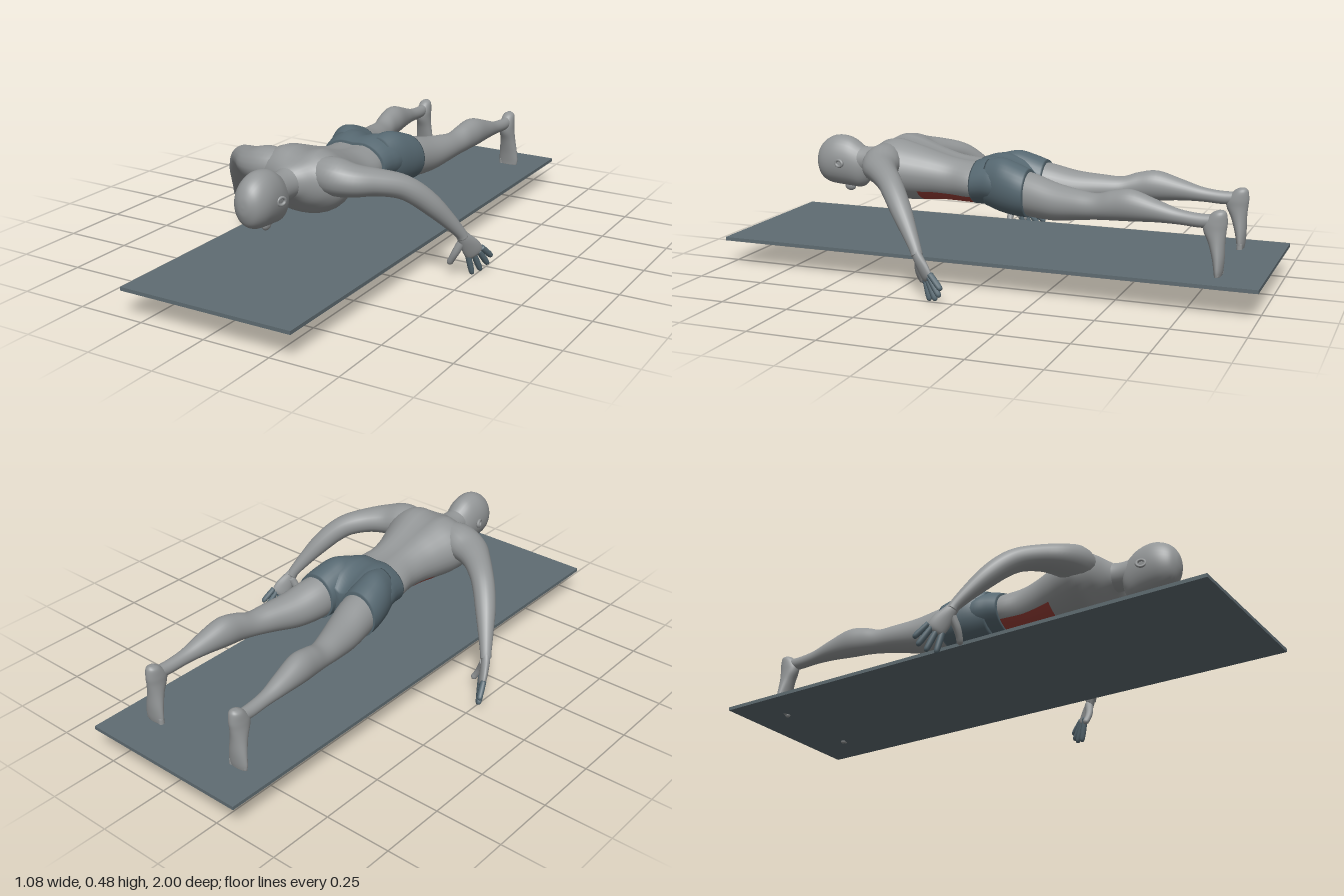
import * as THREE from 'three';

const SIDES = 32;
const material = (name, color) => {
  const m = new THREE.MeshStandardMaterial({ color });
  m.name = name;
  return m;
};

// Smooth interpolation through rows of numbers
function smoothRows(rows, steps) {
  const out = [];
  const n = rows.length - 1;
  for (let i = 0; i < n; i++) {
    const a = rows[Math.max(i - 1, 0)], b = rows[i], c = rows[i + 1], d = rows[Math.min(i + 2, n)];
    for (let k = 0; k < steps; k++) {
      const t = k / steps;
      out.push(b.map((v, j) => v + 0.5 * t * (c[j] - a[j] + t * (2 * a[j] - 5 * v + 4 * c[j] - d[j]
        + t * (3 * (v - c[j]) + d[j] - a[j])))));
    }
  }
  out.push(rows[n]);
  return out;
}

// Skin a list of rings, closing both ends; isSecond picks faces for material 1
function skinRings(rings, isSecond = () => false) {
  const n = rings[0].length, pos = [], faces = [[], []];
  rings.forEach(r => r.forEach(p => pos.push(p.x, p.y, p.z)));
  for (let i = 0; i < rings.length - 1; i++) {
    for (let j = 0; j < n; j++) {
      const a = i * n + j, b = i * n + (j + 1) % n;
      faces[isSecond(rings[i][j], j / n) ? 1 : 0].push(a, b, a + n, b, b + n, a + n);
    }
  }
  [0, rings.length - 1].forEach((i, end) => {
    const c = rings[i].reduce((s, p) => s.add(p), new THREE.Vector3()).divideScalar(n);
    const pole = pos.length / 3;
    pos.push(c.x, c.y, c.z);
    for (let j = 0; j < n; j++) {
      const a = i * n + j, b = i * n + (j + 1) % n;
      faces[0].push(...(end ? [pole, a, b] : [pole, b, a]));
    }
  });
  const g = new THREE.BufferGeometry();
  g.setAttribute('position', new THREE.Float32BufferAttribute(pos, 3));
  g.setIndex([...faces[0], ...faces[1]]);
  g.addGroup(0, faces[0].length, 0);
  if (faces[1].length) g.addGroup(faces[0].length, faces[1].length, 1);
  g.computeVertexNormals();
  return g;
}

// Body sections by rising z: [z, centre x, half width, top, bottom, middle groove]
function bodyLoft(rows, side = 1, isSecond) {
  const rings = smoothRows(rows, 5).map(([z, cx, w, top, bottom, groove = 0]) =>
    Array.from({ length: SIDES }, (_, j) => {
      const a = j / SIDES * Math.PI * 2;
      const x = w * Math.cos(a), s = Math.sin(a);
      const dip = s > 0 ? groove * Math.exp(-((x / 0.035) ** 2)) : 0;
      return new THREE.Vector3(cx * side + x, (top + bottom) / 2 + (top - bottom) / 2 * s - dip, z);
    }));
  return skinRings(rings, isSecond);
}

// Limb along a path: [x, y, z, half width, half thickness]
function limb(rows, side, flat = [0, 1, 0], sides = 20) {
  const pts = smoothRows(rows.map(r => [r[0] * side, r[1], r[2], r[3], r[4] ?? r[3]]), 5);
  const at = i => new THREE.Vector3(...pts[Math.min(Math.max(i, 0), pts.length - 1)].slice(0, 3));
  const ref = new THREE.Vector3(flat[0] * side, flat[1], flat[2]);
  return skinRings(pts.map((p, i) => {
    const t = at(i + 1).sub(at(i - 1)).normalize();
    const n = ref.clone().cross(t).normalize(), b = t.clone().cross(n);
    return Array.from({ length: sides }, (_, j) => {
      const a = j / sides * Math.PI * 2;
      return at(i).addScaledVector(n, p[3] * Math.cos(a)).addScaledVector(b, p[4] * Math.sin(a));
    });
  }));
}

// Tapered digit with a rounded tip
function digit(base, tip, r, side) {
  const mix = t => base.map((v, i) => v + (tip[i] - v) * t);
  return limb([[...mix(0), r], [...mix(0.5), r * 1.05], [...mix(0.85), r * 0.95],
    [...mix(0.97), r * 0.6], [...mix(1), r * 0.1]], side, [0.7, 0, 0.7], 10);
}

export function createModel() {
  const model = new THREE.Group();
  const skin = material('skin grey', 0x939697);
  const cloth = material('shorts blue grey', 0x566871);
  const matGrey = material('mat slate', 0x5f6c72);
  const red = material('abdomen red', 0x9c4038);
  const add = (name, geometry, mat, parent = model) => {
    const m = new THREE.Mesh(geometry, mat);
    m.name = name;
    parent.add(m);
    return m;
  };

  // Exercise mat
  add('mat', new THREE.BoxGeometry(0.66, 0.013, 2), matGrey).position.y = 0.103;

  // Torso, with the abdominal muscles coloured underneath
  add('torso', bodyLoft([
    [0.02, 0, 0.11, 0.42, 0.26, 0.01], [0.1, 0, 0.126, 0.415, 0.25, 0.012],
    [0.18, 0, 0.113, 0.425, 0.25, 0.015], [0.25, 0, 0.122, 0.443, 0.25, 0.016],
    [0.32, 0, 0.146, 0.466, 0.245, 0.02], [0.39, 0, 0.172, 0.487, 0.243, 0.028],
    [0.44, 0, 0.178, 0.484, 0.255, 0.026], [0.48, 0, 0.145, 0.462, 0.29, 0.012],
    [0.51, 0, 0.08, 0.44, 0.32, 0], [0.53, 0, 0.045, 0.425, 0.335, 0],
  ], 1, (p, u) => p.z > 0.08 && p.z < 0.3 && u > 0.58 && u < 0.9), [skin, red]);

  // Neck and head, face down
  add('neck', bodyLoft([
    [0.45, 0, 0.085, 0.45, 0.31], [0.5, 0, 0.06, 0.438, 0.325],
    [0.55, 0, 0.05, 0.428, 0.325], [0.62, 0, 0.05, 0.43, 0.32],
  ]), skin);
  add('head', bodyLoft([
    [0.555, 0, 0.02, 0.39, 0.31], [0.565, 0, 0.04, 0.415, 0.285], [0.59, 0, 0.054, 0.437, 0.27],
    [0.63, 0, 0.064, 0.461, 0.272], [0.68, 0, 0.068, 0.468, 0.276], [0.72, 0, 0.063, 0.456, 0.282],
    [0.75, 0, 0.048, 0.432, 0.3], [0.767, 0, 0.024, 0.4, 0.335], [0.771, 0, 0.004, 0.372, 0.364],
  ]), skin);
  const nose = add('nose', new THREE.SphereGeometry(1, 12, 10), skin);
  nose.scale.set(0.012, 0.02, 0.024);
  nose.position.set(0, 0.272, 0.64);

  // Shorts seat
  add('shortsSeat', bodyLoft([
    [-0.11, 0, 0.09, 0.385, 0.27, 0.03], [-0.06, 0, 0.15, 0.42, 0.245, 0.03],
    [0, 0, 0.153, 0.439, 0.243, 0.024], [0.05, 0, 0.142, 0.436, 0.248, 0.014],
    [0.095, 0, 0.133, 0.421, 0.247, 0.01],
  ]), cloth);

  for (const side of [1, -1]) {
    const label = side > 0 ? 'left' : 'right';

    // Ear
    const ear = add(label + 'Ear', new THREE.TorusGeometry(0.016, 0.006, 8, 16), skin);
    ear.rotation.y = Math.PI / 2 - side * 0.3;
    ear.scale.y = 0.8;
    ear.position.set(side * 0.069, 0.368, 0.652);

    // Shorts leg, leg and upright foot
    add(label + 'ShortsLeg', bodyLoft([
      [-0.13, 0.099, 0.08, 0.404, 0.23], [-0.08, 0.094, 0.08, 0.422, 0.232],
      [-0.02, 0.085, 0.074, 0.437, 0.24], [0.04, 0.07, 0.064, 0.425, 0.255],
    ], side), cloth);
    add(label + 'Leg', bodyLoft([
      [-0.85, 0.196, 0.018, 0.32, 0.275], [-0.78, 0.194, 0.022, 0.316, 0.268],
      [-0.7, 0.191, 0.025, 0.325, 0.272], [-0.62, 0.186, 0.037, 0.35, 0.272],
      [-0.53, 0.178, 0.047, 0.377, 0.266], [-0.46, 0.171, 0.044, 0.368, 0.262],
      [-0.4, 0.16, 0.045, 0.35, 0.257], [-0.33, 0.145, 0.055, 0.355, 0.247],
      [-0.24, 0.122, 0.068, 0.367, 0.233], [-0.16, 0.104, 0.074, 0.388, 0.233],
      [-0.1, 0.095, 0.073, 0.4, 0.24],
    ], side), skin);
    // Foot is lofted lying down, then turned so that its toes point down
    const foot = add(label + 'Foot', bodyLoft([
      [-0.333, 0.195, 0.008, -0.832, -0.852], [-0.322, 0.195, 0.022, -0.812, -0.862],
      [-0.29, 0.195, 0.027, -0.785, -0.866], [-0.26, 0.196, 0.028, -0.785, -0.863],
      [-0.22, 0.197, 0.031, -0.803, -0.86], [-0.17, 0.198, 0.037, -0.818, -0.86],
      [-0.13, 0.199, 0.04, -0.826, -0.857], [-0.108, 0.199, 0.037, -0.829, -0.853],
    ], side), skin);
    foot.rotation.x = Math.PI / 2;
    for (let i = 0; i < 5; i++) {
      const x = 0.17 + i * 0.0148;
      add(label + 'Toe' + (i + 1), digit([x, 0.13, -0.842], [x, 0.088 + i * 0.005, -0.842],
        i ? 0.0075 : 0.0105, side), skin);
    }

    // Arm from shoulder to wrist
    add(label + 'Arm', limb([
      [0.08, 0.405, 0.43, 0.06, 0.06], [0.14, 0.4, 0.43, 0.07, 0.066], [0.2, 0.392, 0.412, 0.066, 0.056],
      [0.26, 0.385, 0.37, 0.052, 0.047], [0.32, 0.367, 0.317, 0.044, 0.043], [0.362, 0.335, 0.277, 0.041],
      [0.402, 0.285, 0.233, 0.037], [0.44, 0.225, 0.187, 0.028], [0.468, 0.175, 0.152, 0.021], [0.476, 0.155, 0.142, 0.02],
    ], side), skin);

    // Hand with spread fingers
    add(label + 'Palm', limb([
      [0.465, 0.18, 0.155, 0.018, 0.016], [0.479, 0.15, 0.138, 0.024, 0.016], [0.491, 0.115, 0.113, 0.034, 0.015],
      [0.498, 0.088, 0.095, 0.034, 0.013], [0.5, 0.078, 0.088, 0.026, 0.008],
    ], side, [0.7, 0, 0.7]), skin);
    add(label + 'Thumb', limb([
      [0.475, 0.145, 0.136, 0.016], [0.453, 0.1, 0.147, 0.014], [0.437, 0.07, 0.147, 0.012],
      [0.427, 0.053, 0.143, 0.011], [0.423, 0.046, 0.14, 0.002],
    ], side, [0.7, 0, 0.7], 12), skin);
    [
      [[0.479, 0.095, 0.114], [0.49, 0.002, 0.09]],
      [[0.494, 0.09, 0.099], [0.508, 0.01, 0.06]],
      [[0.508, 0.093, 0.084], [0.525, 0.03, 0.038]],
      [[0.516, 0.105, 0.077], [0.534, 0.058, 0.028]],
    ].forEach(([base, tip], i) =>
      add(label + 'Finger' + (i + 1), digit(base, tip, 0.0105, side), cloth));
  }
  return model;
}
